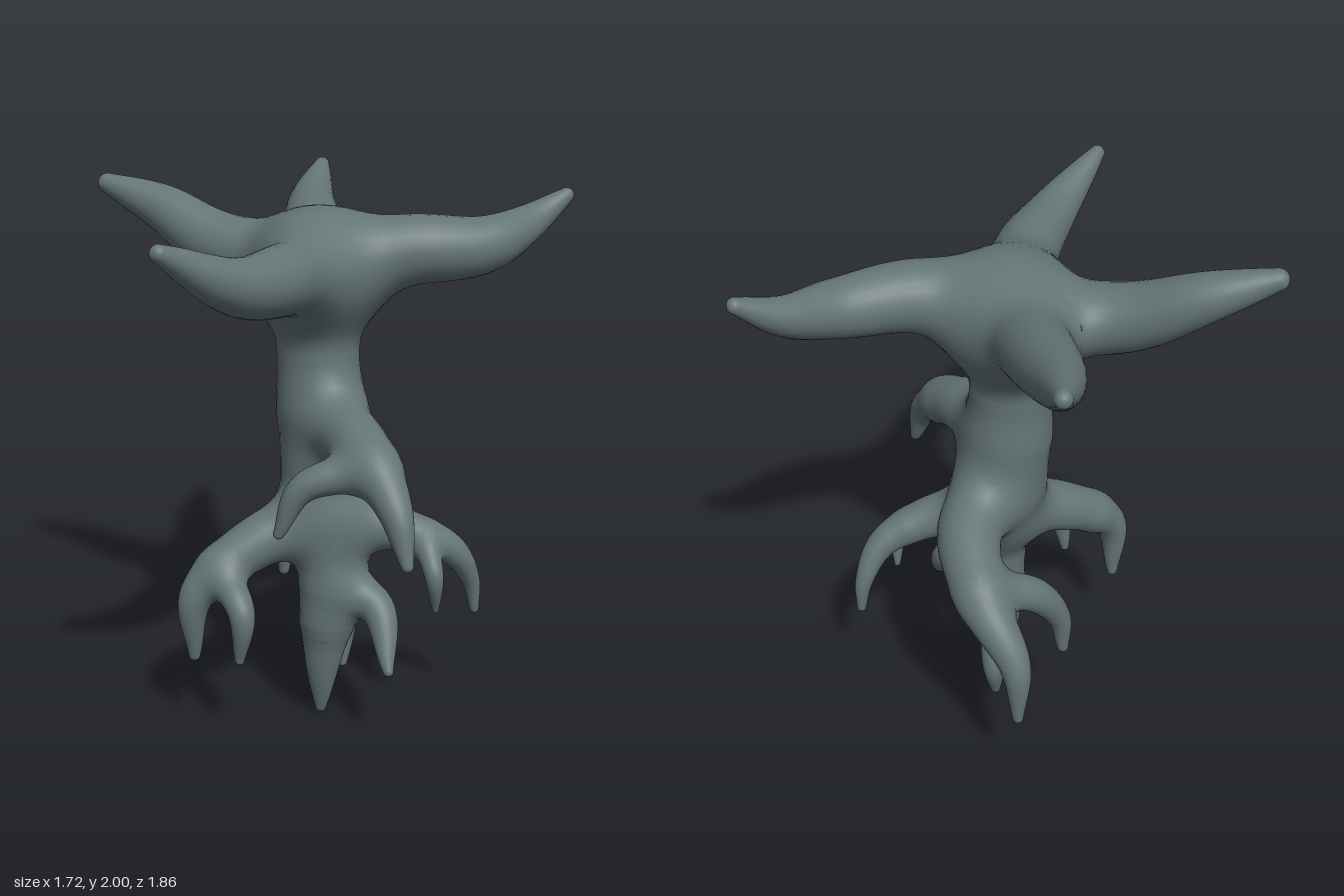
import * as THREE from 'three';

const STEPS = 36, SIDES = 28, CAP = 6;
const vec = (p) => new THREE.Vector3(...p);

// A limb follows a smooth path and tapers from base to tip radius
function makeLimb(name, blend, path, base, tip, power) {
  const rings = [];
  for (let i = 0; i <= STEPS; i++) {
    const u = i / STEPS;
    rings.push({ p: path.getPointAt(u), r: tip + (base - tip) * (1 - u ** power) });
  }
  return { name, blend, path, rings, frames: path.computeFrenetFrames(STEPS) };
}

// Grow a limb out of its parent, starting a fraction u along it
function grow(name, parent, u, bends, base, tip, power = 1.9) {
  const path = new THREE.CatmullRomCurve3([parent.path.getPointAt(u), ...bends.map(vec)]);
  return makeLimb(name, base, path, base, tip, power);
}

// A crown branch reaches out from the head of the trunk
function crownBranch(name, tip, ...bends) {
  const path = new THREE.CatmullRomCurve3([[0.05, 1.705, -0.02], ...bends].map(vec));
  return makeLimb(name, 0.18, path, 0.13, tip, 2.5);
}

function makeLimbs() {
  const trunkPath = new THREE.CatmullRomCurve3([
    [0.05, 1.6, -0.01], [0.06, 1.3, 0], [0.095, 1, 0.01], [0.14, 0.6, 0.085], [0.112, 0.25, 0.095], [0.095, 0.022, 0.07],
  ].map(vec));
  const trunk = makeLimb('trunk', 0.1, trunkPath, 0.15, 0.022, 3.2);

  // hanging roots
  const upper = grow('upperRoot', trunk, 0.26, [[0.33, 1.125, 0.28], [0.47, 0.99, 0.41], [0.53, 0.82, 0.46]], 0.12, 0.022);
  const back = grow('backRoot', trunk, 0.4,
    [[0.17, 0.92, -0.25], [0.08, 0.81, -0.49], [-0.05, 0.63, -0.605], [-0.065, 0.39, -0.63]], 0.135, 0.02, 1.5);
  const left = grow('leftRoot', trunk, 0.5,
    [[0.38, 0.765, 0], [0.55, 0.68, -0.08], [0.615, 0.54, -0.15], [0.63, 0.415, -0.165]], 0.11, 0.018, 1.1);
  const right = grow('rightRoot', trunk, 0.5, [[-0.1, 0.73, 0.195], [-0.29, 0.55, 0.345], [-0.31, 0.3, 0.34]], 0.11, 0.022);

  return [
    trunk, upper, back, left, right,
    crownBranch('rightBranch', 0.038, [-0.36, 1.765, -0.08], [-0.6, 1.88, -0.12], [-0.82, 1.96, -0.115]),
    crownBranch('backBranch', 0.029, [-0.09, 1.78, -0.37], [-0.185, 1.85, -0.62], [-0.24, 1.97, -0.905]),
    crownBranch('leftBranch', 0.028, [0.34, 1.78, -0.07], [0.59, 1.79, -0.21], [0.72, 1.85, -0.39], [0.835, 1.94, -0.5]),
    crownBranch('frontBranch', 0.029, [0.06, 1.735, 0.35], [0.005, 1.76, 0.64], [-0.135, 1.9, 0.9]),
    // side shoots and the low roots
    grow('upperRootShoot', upper, 0.55, [[0.14, 1.03, 0.4], [0.062, 0.865, 0.43]], 0.068, 0.02),
    grow('backRootShoot', back, 0.5, [[-0.07, 0.745, -0.355], [-0.165, 0.57, -0.275], [-0.18, 0.42, -0.27]], 0.072, 0.022),
    grow('leftRootShoot', left, 0.46, [[0.525, 0.63, 0.065], [0.53, 0.48, 0.04]], 0.045, 0.012),
    grow('rightRootShoot', right, 0.55, [[-0.09, 0.53, 0.41], [-0.1, 0.345, 0.41]], 0.062, 0.018),
    grow('lowerLeftRoot', trunk, 0.67, [[0.32, 0.495, 0.11], [0.41, 0.305, 0.24]], 0.078, 0.02),
    grow('lowerBackRoot', trunk, 0.75, [[0.1, 0.37, -0.12], [0.095, 0.24, -0.22], [0.095, 0.085, -0.2]], 0.075, 0.02, 2),
  ];
}

// Signed distance from a point to one tapered limb
function limbDistance(limb, x, y, z) {
  let best = Infinity;
  for (let i = 0; i < STEPS; i++) {
    const a = limb.rings[i], b = limb.rings[i + 1];
    const dx = b.p.x - a.p.x, dy = b.p.y - a.p.y, dz = b.p.z - a.p.z;
    const px = x - a.p.x, py = y - a.p.y, pz = z - a.p.z;
    const t = Math.min(1, Math.max(0, (px * dx + py * dy + pz * dz) / (dx * dx + dy * dy + dz * dz)));
    const d = Math.sqrt((px - t * dx) ** 2 + (py - t * dy) ** 2 + (pz - t * dz) ** 2) - a.r - t * (b.r - a.r);
    if (d < best) best = d;
  }
  return best;
}

// Distance to all limbs, melted together where they meet
function bodyDistance(limbs, x, y, z) {
  let d = Infinity;
  for (const limb of limbs) {
    const e = limbDistance(limb, x, y, z), k = limb.blend;
    const h = Math.max(0, k - Math.abs(d - e)) / k;
    d = Math.min(d, e) - h * h * k * 0.25;
  }
  return d;
}

function gradient(limbs, p) {
  const e = 0.008, f = (x, y, z) => bodyDistance(limbs, p.x + x, p.y + y, p.z + z);
  return new THREE.Vector3(f(e, 0, 0) - f(-e, 0, 0), f(0, e, 0) - f(0, -e, 0), f(0, 0, e) - f(0, 0, -e)).divideScalar(2 * e);
}

// Round-ended tube whose skin is drawn out to the blended surface
function limbGeometry(limb, limbs) {
  const { rings, frames } = limb, sections = [];
  for (let c = 0; c < CAP; c++) sections.push([0, -Math.PI / 2 * (1 - c / CAP)]);
  for (let i = 0; i <= STEPS; i++) sections.push([i, 0]);
  for (let c = 1; c <= CAP; c++) sections.push([STEPS, Math.PI / 2 * c / CAP]);

  const positions = [], normals = [], index = [];
  sections.forEach(([i, tilt], row) => {
    const { p, r } = rings[i];
    for (let j = 0; j <= SIDES; j++) {
      const a = (j % SIDES) / SIDES * Math.PI * 2, w = r * Math.cos(tilt);
      const v = p.clone()
        .addScaledVector(frames.normals[i], Math.cos(a) * w)
        .addScaledVector(frames.binormals[i], Math.sin(a) * w)
        .addScaledVector(frames.tangents[i], Math.sin(tilt) * r);
      // deeply buried skin is left where it is
      if (bodyDistance(limbs, v.x, v.y, v.z) > -0.12) {
        for (let n = 0; n < 3; n++) {
          const g = gradient(limbs, v);
          v.addScaledVector(g, -bodyDistance(limbs, v.x, v.y, v.z) / Math.max(0.3, g.lengthSq()));
        }
      }
      positions.push(v.x, v.y, v.z);
      normals.push(...gradient(limbs, v).normalize().toArray());
      if (row && j < SIDES) {
        const d = row * (SIDES + 1) + j, b = d - SIDES - 1;
        index.push(b, b + 1, d, b + 1, d + 1, d);
      }
    }
  });
  const geometry = new THREE.BufferGeometry();
  geometry.setAttribute('position', new THREE.Float32BufferAttribute(positions, 3));
  geometry.setAttribute('normal', new THREE.Float32BufferAttribute(normals, 3));
  geometry.setIndex(index);
  return geometry;
}

export function createModel() {
  const group = new THREE.Group();
  group.name = 'rootedTree';
  const bark = new THREE.MeshStandardMaterial({ color: 0x647475 });
  bark.name = 'slateBark';
  const limbs = makeLimbs();
  for (const limb of limbs) {
    const mesh = new THREE.Mesh(limbGeometry(limb, limbs), bark);
    mesh.name = limb.name;
    group.add(mesh);
  }
  return group;
}
